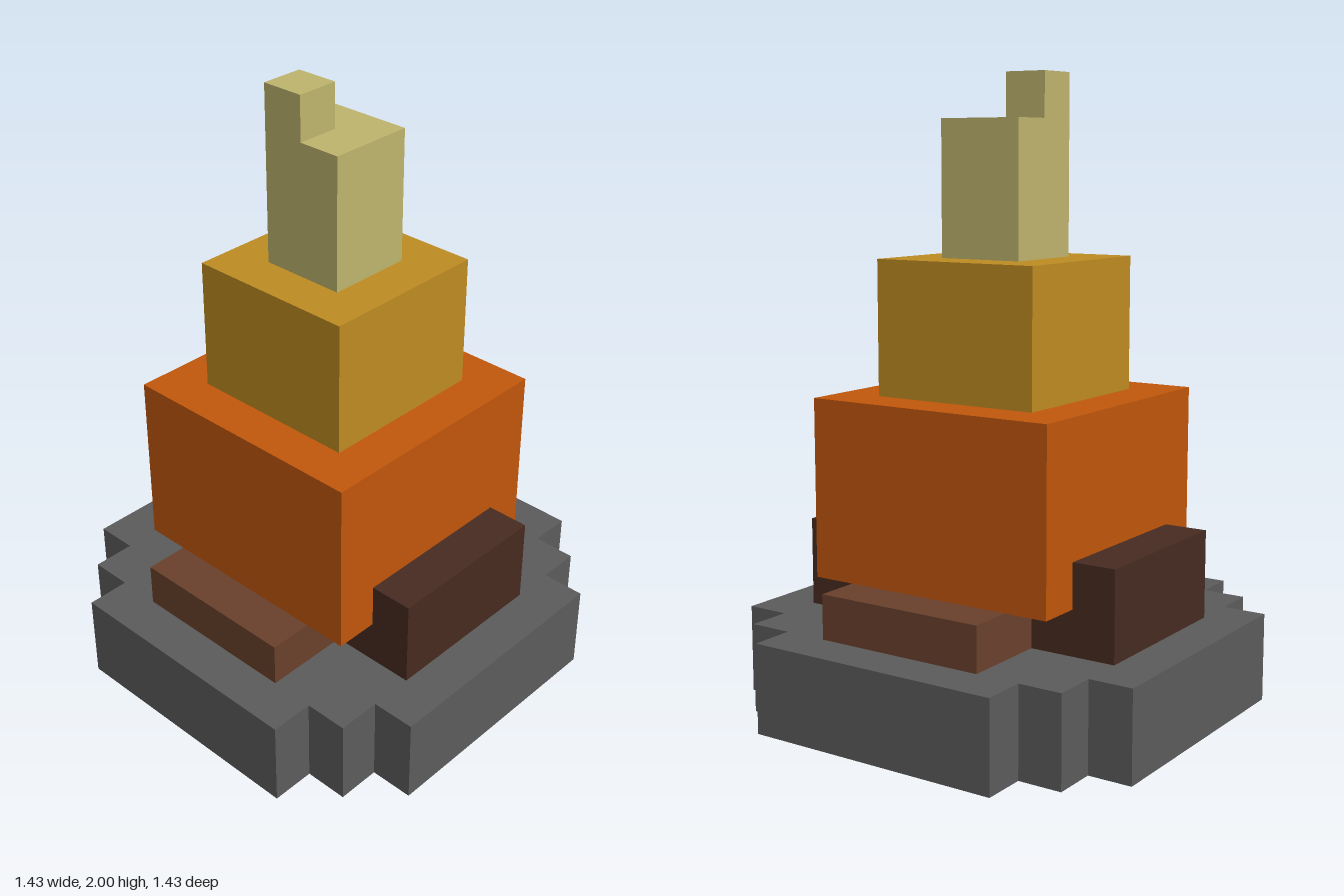
import * as THREE from 'three';

const U = 1 / 7; // one block unit

export function createModel() {
  const group = new THREE.Group();
  group.name = 'campfire';

  const mat = (name, color) => {
    const m = new THREE.MeshStandardMaterial({ color });
    m.name = name;
    return m;
  };
  const stone = mat('stone grey', 0x5c5c5c);
  const darkWood = mat('dark wood', 0x472b20);
  const lightWood = mat('light wood', 0x6a412c);
  const orange = mat('flame orange', 0xc2570c);
  const amber = mat('flame amber', 0xbf8c22);
  const pale = mat('flame pale yellow', 0xc0b56e);

  // Box between two corners, given in block units
  const block = (name, material, [x0, y0, z0], [x1, y1, z1]) => {
    const geo = new THREE.BoxGeometry((x1 - x0) * U, (y1 - y0) * U, (z1 - z0) * U);
    const mesh = new THREE.Mesh(geo, material);
    mesh.position.set((x0 + x1) / 2 * U, (y0 + y1) / 2 * U, (z0 + z1) / 2 * U);
    mesh.name = name;
    group.add(mesh);
  };

  // Stone base: one stepped corner, turned four times into a closed outline
  const corner = [[5, -3], [5, 3], [4, 3], [4, 4], [3, 4]];
  const outline = [];
  for (let i = 0; i < 4; i++) {
    const c = Math.round(Math.cos(i * Math.PI / 2));
    const s = Math.round(Math.sin(i * Math.PI / 2));
    // the first point opens the turn; the last joins the next turn's first
    for (const [x, y] of corner) {
      outline.push(new THREE.Vector2((x * c - y * s) * U, (x * s + y * c) * U));
    }
  }
  // The outline's corners by the -3 side also need their step
  const stepped = [];
  for (const p of outline) {
    if (!stepped.length || stepped[stepped.length - 1].distanceTo(p) > 1e-6) stepped.push(p);
  }
  const baseGeo = new THREE.ExtrudeGeometry(new THREE.Shape(stepped), { depth: 2 * U, bevelEnabled: false });
  baseGeo.rotateX(-Math.PI / 2);
  const base = new THREE.Mesh(baseGeo, stone);
  base.name = 'stoneBase';
  group.add(base);

  // Logs: tall dark pair front and back, low light pair left and right
  block('frontLog', darkWood, [-2, 2, 2], [2, 4, 4]);
  block('backLog', darkWood, [-2, 2, -4], [2, 4, -2]);
  block('leftLog', lightWood, [2, 2, -2], [4, 3, 2]);
  block('rightLog', lightWood, [-4, 2, -2], [-2, 3, 2]);

  // Flame tiers, narrowing upward
  block('lowerFlame', orange, [-3, 3, -3], [3, 7, 3]);
  block('middleFlame', amber, [-2, 7, -2], [2, 10, 2]);
  block('upperFlame', pale, [-1, 10, -1], [1, 13, 1]);
  block('flameTip', pale, [-1, 13, -1], [0, 14, 0]);

  return group;
}
